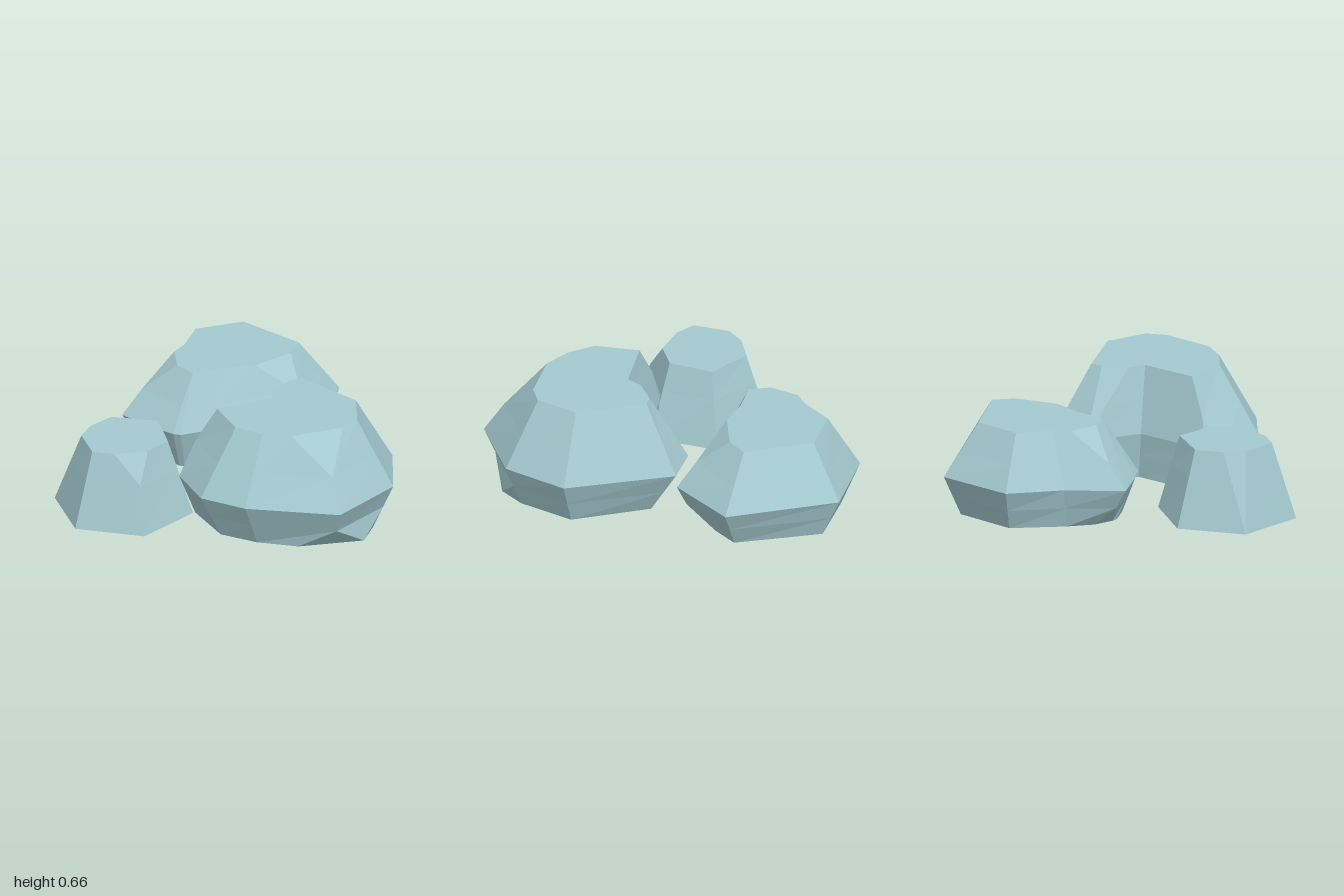
import * as THREE from 'three';

const material = new THREE.MeshStandardMaterial({ color: 0xa3c9cf, flatShading: true });

// A faceted rock: each column lists [x, z] per level, going round from the back over +x.
// A null point lies on the straight edge between its neighbours above and below.
function rock(name, ys, columns) {
  const cols = columns.map((col) => col.map((p, i) => {
    if (p) return new THREE.Vector3(p[0], ys[i], p[1]);
    const t = (ys[i] - ys[i - 1]) / (ys[i + 1] - ys[i - 1]);
    const [a, b] = [col[i - 1], col[i + 1]];
    return new THREE.Vector3(a[0] + (b[0] - a[0]) * t, ys[i], a[1] + (b[1] - a[1]) * t);
  }));
  const pos = [];
  const normal = (a, b, c) => b.clone().sub(a).cross(c.clone().sub(a));
  const tri = (a, b, c) => {
    if (normal(a, b, c).length() > 1e-6) pos.push(...a.toArray(), ...b.toArray(), ...c.toArray());
  };
  // Sides
  cols.forEach((a, i) => {
    const b = cols[(i + 1) % cols.length];
    for (let k = 0; k < ys.length - 1; k++) {
      tri(b[k], a[k], a[k + 1]);
      tri(b[k], a[k + 1], b[k + 1]);
    }
  });
  // Flat top and underside
  for (const [level, dir] of [[0, -1], [ys.length - 1, 1]]) {
    const ring = cols.map((c) => c[level])
      .filter((p, i, all) => p.distanceTo(all[(i + 1) % all.length]) > 1e-4);
    const outline = ring.map((p) => new THREE.Vector2(p.x, p.z));
    for (const [i, j, k] of THREE.ShapeUtils.triangulateShape(outline, [])) {
      const [a, b, c] = [ring[i], ring[j], ring[k]];
      if (normal(a, b, c).y * dir > 0) tri(a, b, c);
      else tri(a, c, b);
    }
  }
  const geo = new THREE.BufferGeometry();
  geo.setAttribute('position', new THREE.Float32BufferAttribute(pos, 3));
  geo.computeVertexNormals();
  const mesh = new THREE.Mesh(geo, material);
  mesh.name = name;
  return mesh;
}

// Column with straight edges: bottom, waist, top
const edge = (b, m, t) => [b, null, m, null, t];

export function createModel() {
  const group = new THREE.Group();
  group.name = 'rocks';

  // Large rock with a notch; pairs of columns sharing a waist point make cut corners
  const corner = [[0.745, 0.89], [0.78, 0.95], [0.71, 0.85]];
  const tip = [-0.17, 0.56];
  group.add(rock('largeRock', [0, 0.138, 0.275, 0.46, 0.66], [
    edge([0.35, -0.02], [0.31, -0.19], [0.33, 0.04]),
    edge([0.78, 0.19], [0.89, 0.13], [0.7, 0.24]),
    edge([0.87, 0.52], [0.99, 0.52], [0.77, 0.49]),
    [[0.86, 0.7], ...corner, [0.71, 0.6]],
    [[0.51, 0.865], ...corner, [0.45, 0.775]],
    edge([0.27, 0.87], [0.23, 1], [0.28, 0.79]),
    edge([0.04, 0.82], [-0.05, 0.93], [0.11, 0.745]),
    [[-0.17, 0.58], null, [-0.24, 0.68], tip, [-0.05, 0.535]],
    [[-0.17, 0.55], null, [-0.24, 0.57], tip, [-0.05, 0.535]],
    [[-0.13, 0.5], null, [-0.19, 0.52], tip, [-0.05, 0.535]],
    edge([0.176, 0.28], [0.13, 0.28], [0.22, 0.33]),
    edge([0.165, 0.1], [0.1, -0.06], [0.21, 0.23]),
    edge([0.165, 0.1], [0.1, -0.06], [0.27, 0.085]),
  ]));

  // Medium rock at the back
  const right = [[0.3, -0.27], [0.355, -0.25], [0.245, -0.295]];
  const left = [[-0.69, -0.1], [-0.76, -0.06], [-0.66, -0.135]];
  group.add(rock('mediumRock', [0, 0.122, 0.245, 0.39, 0.555], [
    edge([-0.2, -0.89], [-0.23, -1], [-0.22, -0.79]),
    edge([0.25, -0.63], [0.375, -0.695], [0.155, -0.605]),
    [[0.24, -0.46], ...right, [0.14, -0.465]],
    [[0.03, -0.2], ...right, [-0.02, -0.26]],
    edge([-0.18, -0.1], [-0.18, -0.015], [-0.185, -0.19]),
    edge([-0.37, 0.02], [-0.37, 0.11], [-0.345, -0.08]),
    edge([-0.4, 0.02], [-0.415, 0.11], [-0.355, -0.085]),
    edge([-0.53, -0.05], [-0.555, 0.05], [-0.455, -0.15]),
    [[-0.55, -0.08], ...left, [-0.455, -0.15]],
    [[-0.59, -0.2], ...left, [-0.515, -0.32]],
    edge([-0.58, -0.36], [-0.65, -0.4], [-0.48, -0.42]),
    edge([-0.52, -0.69], [-0.62, -0.74], [-0.465, -0.635]),
  ]));

  // Small six-sided rock
  const chip = [[-0.38, 0.95], [-0.425, 0.87]];
  group.add(rock('smallRock', [0, 0.28, 0.445], [
    [[-0.79, 0.24], null, [-0.72, 0.365]],
    [[-0.38, 0.24], null, [-0.445, 0.35]],
    [[-0.18, 0.59], null, [-0.33, 0.59]],
    [...chip, [-0.41, 0.745]],
    [...chip, [-0.59, 0.825]],
    [[-0.79, 0.95], null, [-0.72, 0.825]],
    [[-1, 0.59], null, [-0.83, 0.64]],
    [[-1, 0.59], null, [-0.81, 0.51]],
  ]));
  return group;
}
